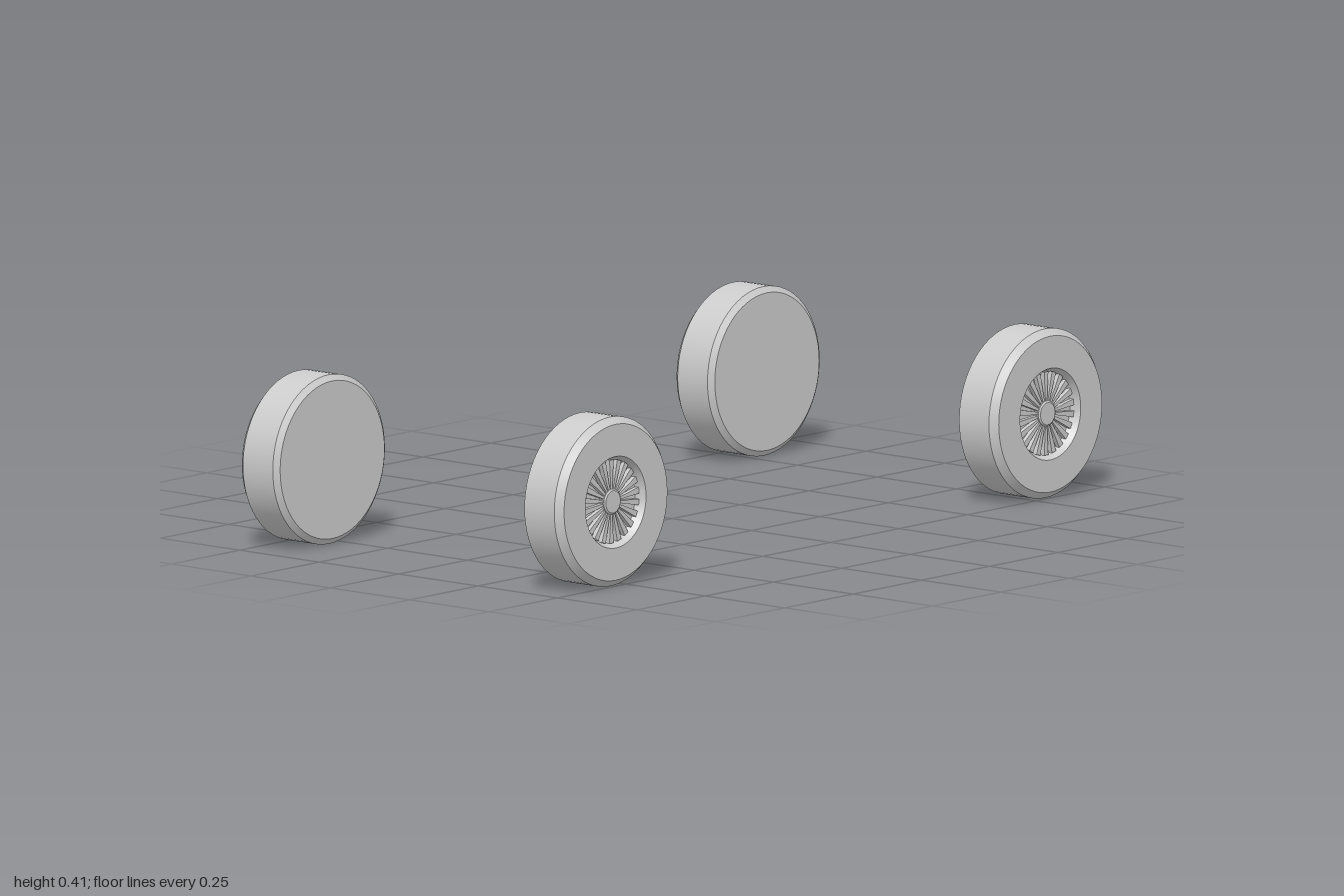
import * as THREE from 'three';
import { toCreasedNormals } from 'three/addons/utils/BufferGeometryUtils.js';

const R = 0.205;
const HALF = 0.061;
const SPOKES = 22;

// One wheel, axle along x, outer face towards +x
function createWheel(material) {
  const wheel = new THREE.Group();
  const add = (name, geometry) => {
    const mesh = new THREE.Mesh(geometry, material);
    mesh.name = name;
    wheel.add(mesh);
    return mesh;
  };
  const lathe = (profile, segments) => {
    const g = new THREE.LatheGeometry(profile.map(([r, x]) => new THREE.Vector2(r, x)), segments);
    g.rotateZ(-Math.PI / 2);
    return toCreasedNormals(g, 0.4);
  };

  // Tyre: flat closed back, chamfered shoulders, dished recess in the outer face
  add('tyre', lathe([
    [0, -HALF], [R - 0.014, -HALF], [R, -HALF + 0.011], [R, HALF - 0.017],
    [R - 0.016, HALF], [0.111, HALF], [0.099, HALF - 0.024], [0, HALF - 0.024],
  ], 64));

  // Central hub cap
  add('hub', lathe([
    [0.031, HALF - 0.025], [0.031, HALF - 0.011], [0.027, HALF - 0.008], [0, HALF - 0.008],
  ], 32));

  // Spokes: wedges widening outwards, sloping gently down to the rim
  const shape = new THREE.Shape([
    new THREE.Vector2(0.027, -0.0028), new THREE.Vector2(0.101, -0.0075),
    new THREE.Vector2(0.101, 0.0075), new THREE.Vector2(0.027, 0.0028),
  ]);
  const spoke = new THREE.ExtrudeGeometry(shape, { depth: 0.012, bevelEnabled: false });
  // Shape x runs up the radius, extrusion runs along the axle
  spoke.rotateZ(Math.PI / 2).rotateY(Math.PI / 2).translate(HALF - 0.025, 0, 0);
  for (let i = 0; i < SPOKES; i++) {
    add('spoke', spoke).rotation.x = (i / SPOKES) * Math.PI * 2;
  }
  return wheel;
}

export function createModel() {
  const model = new THREE.Group();
  model.name = 'wheelSet';
  const material = new THREE.MeshStandardMaterial({ color: 0xcccccc });
  for (const side of [1, -1]) {
    for (const end of [1, -1]) {
      const wheel = createWheel(material);
      wheel.name = (end > 0 ? 'front' : 'rear') + (side > 0 ? 'Left' : 'Right') + 'Wheel';
      wheel.position.set(side * 0.446, R, end * 0.795);
      if (side < 0) wheel.rotation.y = Math.PI;
      model.add(wheel);
    }
  }
  return model;
}
